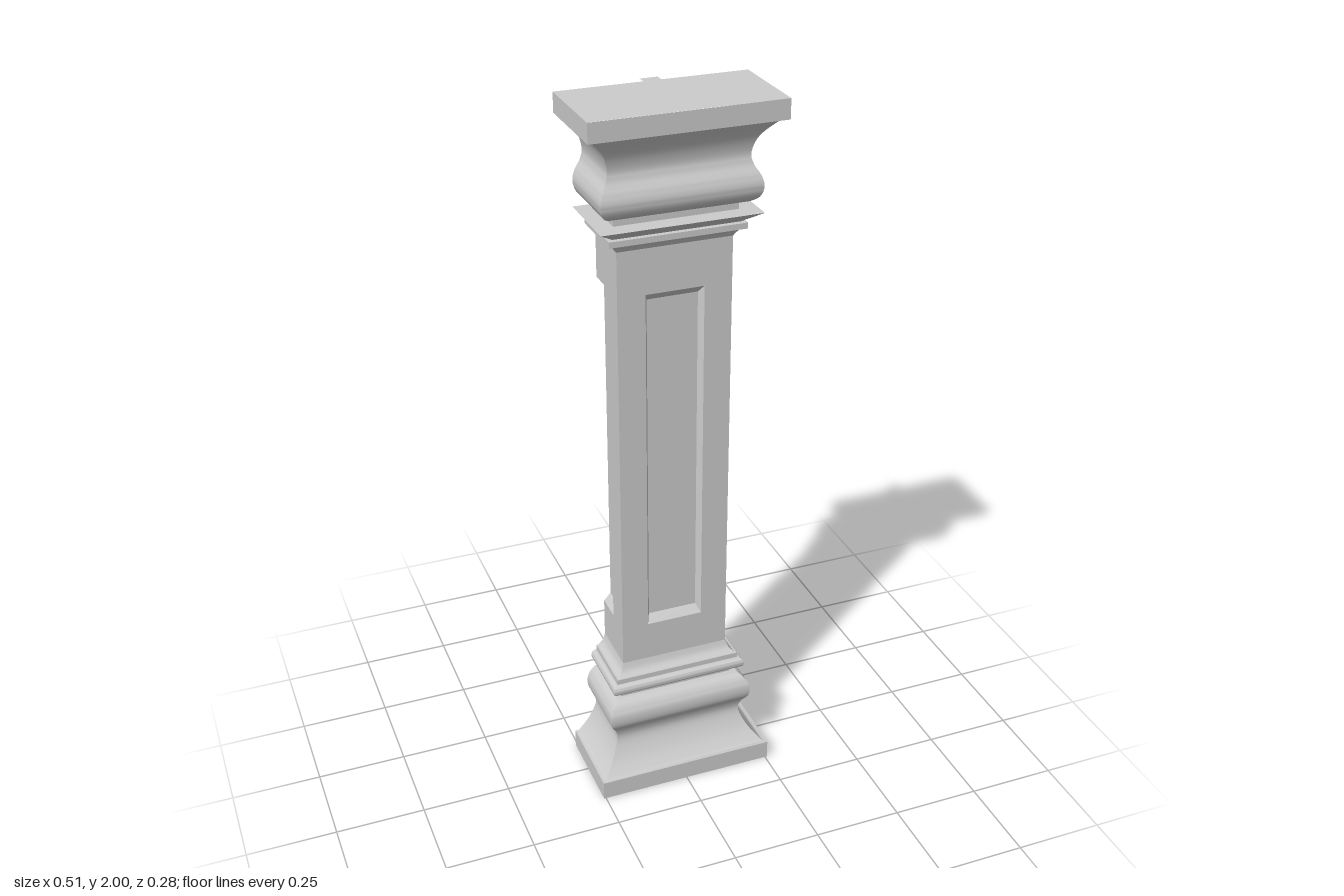
import * as THREE from 'three';
import { toCreasedNormals } from 'three/addons/utils/BufferGeometryUtils.js';

const ZC = -0.115;              // wall plane: the open back of the half column
const R = 0.156;                // shaft half width
const SHAFT = [0.385, 1.63];    // shaft bottom and top
const material = new THREE.MeshStandardMaterial({ color: 0xcccccc, side: THREE.DoubleSide });

const curve = (pts, n = 28) =>
  new THREE.SplineCurve(pts.map(p => new THREE.Vector2(...p))).getPoints(n).map(v => [v.x, v.y]);

// Sweep a [half width, height] profile round the left, front and right sides, mitred at the corners
function molding(profile) {
  const pos = [], index = [];
  const rail = [[-1, 0], [-1, 1], [1, 1], [1, 0]];
  for (let leg = 0; leg < 3; leg++) {
    const base = pos.length / 3;
    profile.forEach(([r, y]) => {
      for (const [x, z] of [rail[leg], rail[leg + 1]]) pos.push(x * r, y, ZC + z * r);
    });
    for (let i = 0; i < profile.length - 1; i++) {
      const a = base + 2 * i;
      index.push(a, a + 1, a + 3, a, a + 3, a + 2);
    }
  }
  const g = new THREE.BufferGeometry();
  g.setAttribute('position', new THREE.Float32BufferAttribute(pos, 3));
  g.setIndex(index);
  return toCreasedNormals(g, 0.6);
}

// One shaft face with a sunk, bevelled panel, clipped to lo..hi across its width
function panelFace(lo, hi, angle) {
  const pos = [];
  const [b, t] = SHAFT, w = 0.08, wi = 0.07, d = 0.02;
  const y0 = 0.5, y1 = 1.505, i0 = 0.522, i1 = 1.483;
  const clip = u => Math.min(hi, Math.max(lo, u));
  const quad = (...corners) => {
    const c = corners.map(([u, y, z]) => [clip(u), y, R - z]);
    const us = c.map(p => p[0]);
    if (Math.max(...us) - Math.min(...us) < 1e-5) return;
    for (const k of [0, 1, 2, 0, 2, 3]) pos.push(...c[k]);
  };
  const flat = (u0, u1, v0, v1, z) => quad([u0, v0, z], [u1, v0, z], [u1, v1, z], [u0, v1, z]);
  // surround
  flat(-R, R, b, y0, 0);
  flat(-R, R, y1, t, 0);
  flat(-R, -w, y0, y1, 0);
  flat(w, R, y0, y1, 0);
  // bevels and sunk field
  quad([-w, y0, 0], [w, y0, 0], [wi, i0, d], [-wi, i0, d]);
  quad([-wi, i1, d], [wi, i1, d], [w, y1, 0], [-w, y1, 0]);
  quad([-w, y0, 0], [-wi, i0, d], [-wi, i1, d], [-w, y1, 0]);
  quad([wi, i0, d], [w, y0, 0], [w, y1, 0], [wi, i1, d]);
  flat(-wi, wi, i0, i1, d);
  const g = new THREE.BufferGeometry();
  g.setAttribute('position', new THREE.Float32BufferAttribute(pos, 3));
  g.computeVertexNormals();
  return g.rotateY(angle).translate(0, 0, ZC);
}

export function createModel() {
  const model = new THREE.Group();
  const add = (name, geometry) => {
    const mesh = new THREE.Mesh(geometry, material);
    mesh.name = name;
    model.add(mesh);
    return mesh;
  };
  const E = 0.256;

  // base: plinth, swelling foot, bead and cove up to the shaft
  add('base', molding([
    [E, 0], [E, 0.055], [0.246, 0.055],
    ...curve([[0.243, 0.057], [0.212, 0.095], [0.189, 0.145], [0.194, 0.18], [0.211, 0.21],
      [0.212, 0.245], [0.198, 0.27], [0.185, 0.28]]),
    [0.168, 0.28], [0.168, 0.302],
    ...curve([[0.185, 0.302], [0.196, 0.308], [0.199, 0.319], [0.196, 0.33], [0.187, 0.335]], 10),
    [0.183, 0.335], [0.183, 0.35],
    ...curve([[0.178, 0.35], [0.164, 0.364], [R, SHAFT[0]]], 6),
  ]));

  // panelled shaft
  add('frontShaft', panelFace(-R, R, 0));
  add('leftShaft', panelFace(-R, 0, Math.PI / 2));
  add('rightShaft', panelFace(0, R, -Math.PI / 2));

  // capital: small steps, sharp drip edge, swelling bell and top slab
  add('capital', molding([
    ...curve([[R, SHAFT[1]], [0.163, 1.642], [0.174, 1.655]], 6),
    [0.184, 1.655], [0.184, 1.671], [0.17, 1.671], [0.215, 1.703],
    [0.166, 1.703], [0.166, 1.727],
    ...curve([[0.185, 1.727], [0.204, 1.742], [0.213, 1.77], [0.207, 1.798], [0.192, 1.825],
      [0.187, 1.855], [0.202, 1.9], [0.24, 1.946]]),
    [E, 1.948], [E, 2],
  ]));

  // closing caps; the top one carries a small tab at the wall
  const outline = tab => {
    const s = new THREE.Shape();
    s.moveTo(-E, 0.115).lineTo(-E, ZC - -0.115 - 0.14).lineTo(E, -0.14).lineTo(E, 0.115);
    if (tab) s.lineTo(0.024, 0.115).lineTo(0.024, 0.14).lineTo(-0.024, 0.14).lineTo(-0.024, 0.115);
    s.closePath();
    return new THREE.ShapeGeometry(s);
  };
  add('topCap', outline(true).rotateX(-Math.PI / 2).translate(0, 2, 0));
  add('bottomCap', outline(false).scale(1, -1, 1).rotateX(Math.PI / 2));
  return model;
}
